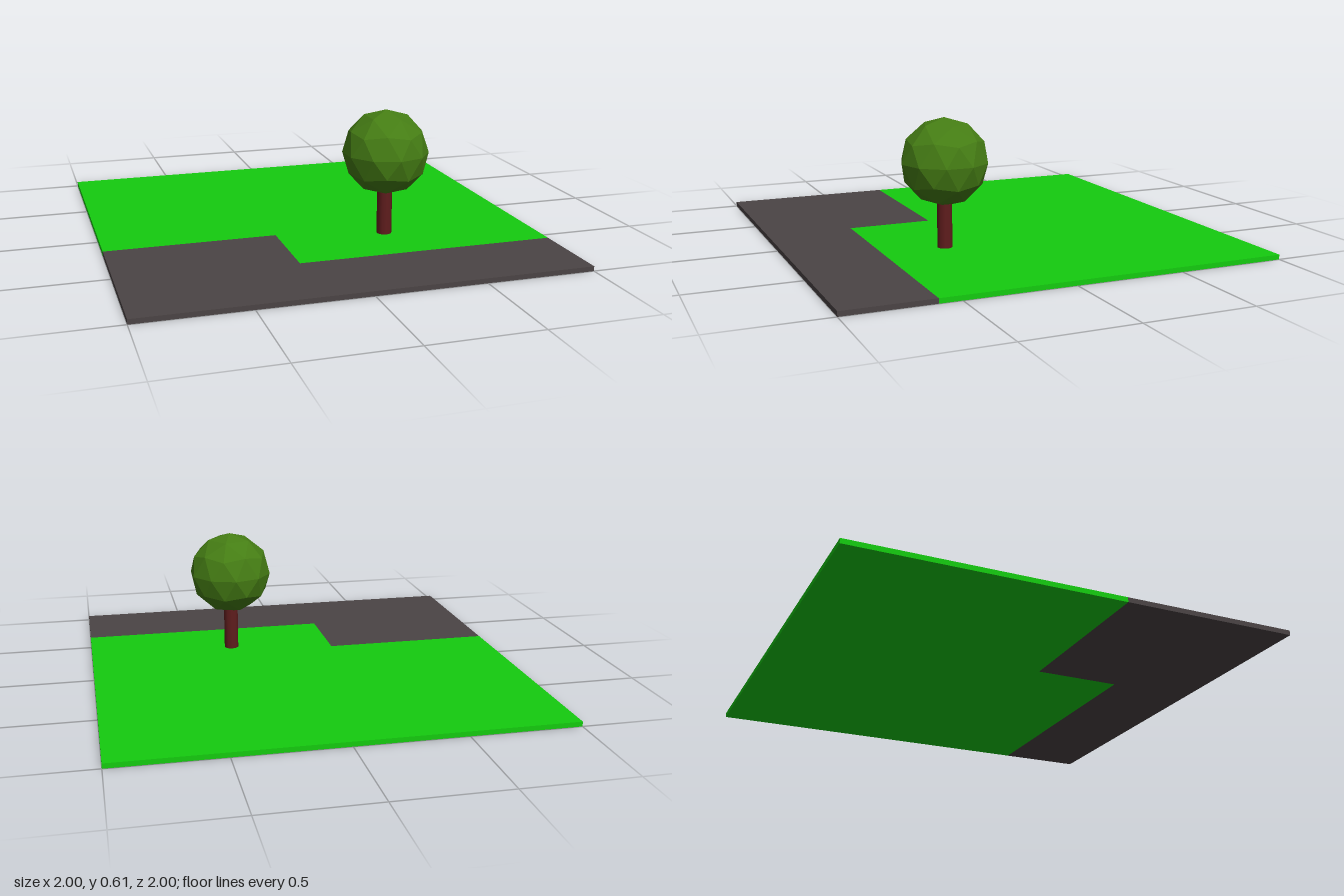
import * as THREE from 'three';

const THICK = 0.022;
const TREE_X = 0.3, TREE_Z = 0.305;

function part(name, geometry, color, flatShading = false) {
  const mesh = new THREE.Mesh(geometry, new THREE.MeshStandardMaterial({ color, flatShading }));
  mesh.name = name;
  return mesh;
}

// Flat slab from an outline of [x, z] corners, standing on y = 0
function slab(corners) {
  const shape = new THREE.Shape(corners.map(([x, z]) => new THREE.Vector2(x, -z)));
  return new THREE.ExtrudeGeometry(shape, { depth: THICK, bevelEnabled: false }).rotateX(-Math.PI / 2);
}

export function createModel() {
  const model = new THREE.Group();
  model.name = 'treePlot';

  // Ground: lawn and paving meet along a stepped line
  const step = [[-1, 0.2], [-0.2, 0.2], [-0.2, 0.6], [1, 0.6]];
  model.add(part('lawn', slab([...step, [1, -1], [-1, -1]]), 0x14cc0f));
  model.add(part('pavement', slab([...step, [1, 1], [-1, 1]]), 0x4b4445));

  // Tree: round trunk reaching into a faceted ball with corners at its poles
  const tree = new THREE.Group();
  tree.name = 'tree';
  tree.position.set(TREE_X, THICK, TREE_Z);

  const trunk = part('trunk', new THREE.CylinderGeometry(0.035, 0.035, 0.25, 10), 0x5f1d1d);
  trunk.position.y = 0.125;

  const golden = (1 + Math.sqrt(5)) / 2;
  const ball = new THREE.IcosahedronGeometry(0.2, 1).rotateZ(-Math.atan(1 / golden));
  const crown = part('crown', ball, 0x457d14, true);
  crown.position.y = 0.391;

  tree.add(trunk, crown);
  model.add(tree);
  return model;
}
